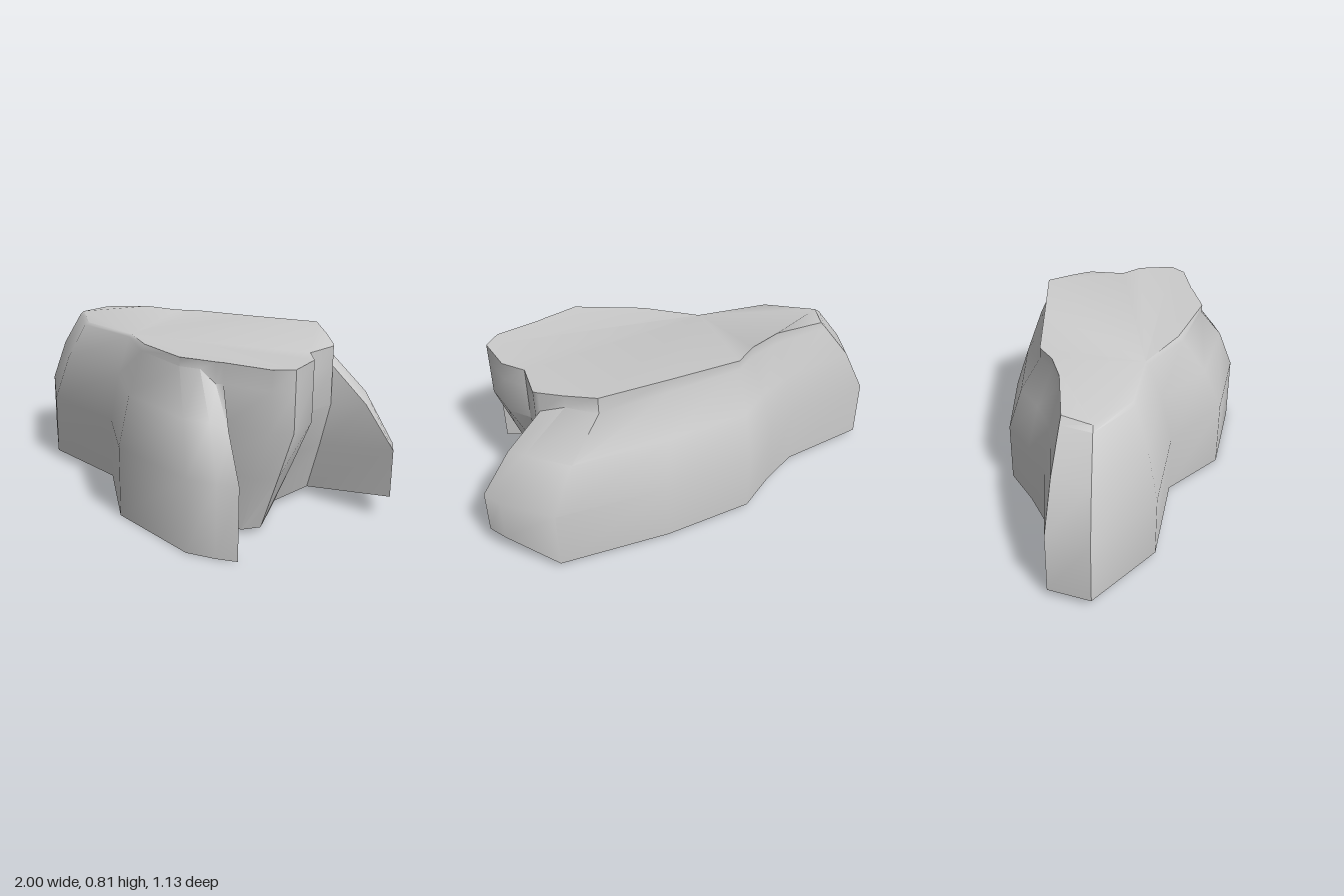
import * as THREE from 'three';
import { toCreasedNormals } from 'three/addons/utils/BufferGeometryUtils.js';

// Profiles of the wall columns: [height, blend from foot to rim]
const BEVELLED = [[0.33, 0], [0.55, 0.4], [0.725, 0.9]];
const LEDGE = [[0.33, 0], [0.55, 0.41], [0.73, 1]];
const TIP = [[0.33, 0], [0.52, 0.45], [0.675, 1]];
const OVERHANG = [[0.28, 0.55], [0.5, 1], [0.68, 1]];

// Wall columns, running left end -> front -> right -> back: foot x, z, y, then rim x, z, y
const WALL = [
  [BEVELLED, [
    [-1, 0.12, 0.035, -0.74, 0.08, 0.745],
    [-0.65, 0.34, 0.035, -0.52, 0.205, 0.737],
    [-0.17, 0.34, 0.035, -0.17, 0.205, 0.737],
    [0.16, 0.545, 0, 0.08, 0.325, 0.752],
  ]],
  [LEDGE, [
    [0.63, 0.565, 0, 0.41, 0.405, 0.77],
    [0.75, 0.51, 0, 0.5, 0.37, 0.77],
  ]],
  [TIP, [[0.83, 0.46, 0, 0.57, 0.345, 0.77]]],
  [OVERHANG, [
    [0.43, 0.33, 0.02, 0.6, 0.33, 0.77],
    [0.66, 0.27, 0.02, 0.81, 0.265, 0.77],
    [0.7, 0.19, 0.02, 0.87, 0.19, 0.77],
    [0.6, 0.02, 0.02, 0.82, 0.02, 0.77],
    [0.55, -0.06, 0.02, 0.73, -0.06, 0.77],
    [0.57, -0.27, 0.04, 0.72, -0.23, 0.77],
  ]],
  [TIP, [[1, -0.33, 0.11, 0.7, -0.25, 0.775]]],
  [LEDGE, [
    [0.94, -0.41, 0.115, 0.6, -0.325, 0.792],
    [0.72, -0.565, 0.035, 0.47, -0.41, 0.813],
    [0.2, -0.53, 0.035, 0.13, -0.345, 0.795],
    [-0.22, -0.45, 0.035, -0.21, -0.28, 0.78],
    [-0.38, -0.31, 0.035, -0.3, -0.2, 0.782],
    [-0.55, -0.19, 0.035, -0.45, -0.13, 0.788],
  ]],
  [BEVELLED, [[-0.97, -0.08, 0.035, -0.71, -0.06, 0.757]]],
];

// Zones of the top, as column numbers: right shelf, raised back corner, middle, left end
const TOP_ZONES = [
  [2, 3, 4, 5, 6, 7, 8, 9, 10, 11],
  [11, 12, 13, 14, 15],
  [2, 11, 15, 16, 17],
  [0, 1, 2, 17, 18, 19, 20],
];

function column([fx, fz, fy, rx, rz, ry], profile) {
  const foot = new THREE.Vector3(fx, fy, fz);
  const rim = new THREE.Vector3(rx, ry, rz);
  const steps = profile.map(([y, t]) => foot.clone().lerp(rim, t).setY(y));
  return [foot, ...steps, rim];
}

export function createModel() {
  const columns = WALL.flatMap(([profile, list]) => list.map((c) => column(c, profile)));
  const rows = columns[0].length;
  const index = [];

  // Side wall, open underneath
  for (let i = 0; i < columns.length; i++) {
    const next = (i + 1) % columns.length;
    for (let j = 0; j < rows - 1; j++) {
      const a = i * rows + j;
      const b = next * rows + j;
      index.push(a, b, b + 1, a, b + 1, a + 1);
    }
  }

  // Top, sharing the rim so the front edge shades softly
  for (const zone of TOP_ZONES) {
    const outline = zone.map((i) => {
      const p = columns[i][rows - 1];
      return new THREE.Vector2(p.x, -p.z);
    });
    for (const face of THREE.ShapeUtils.triangulateShape(outline, [])) {
      index.push(...face.map((k) => zone[k] * rows + rows - 1));
    }
  }

  const geometry = new THREE.BufferGeometry().setFromPoints(columns.flat());
  geometry.setIndex(index);
  const material = new THREE.MeshStandardMaterial({ color: 0xcccccc, side: THREE.DoubleSide });
  const rock = new THREE.Mesh(toCreasedNormals(geometry, 0.75), material);
  rock.name = 'rockShell';

  const group = new THREE.Group();
  group.name = 'rockLedge';
  group.add(rock);
  return group;
}
